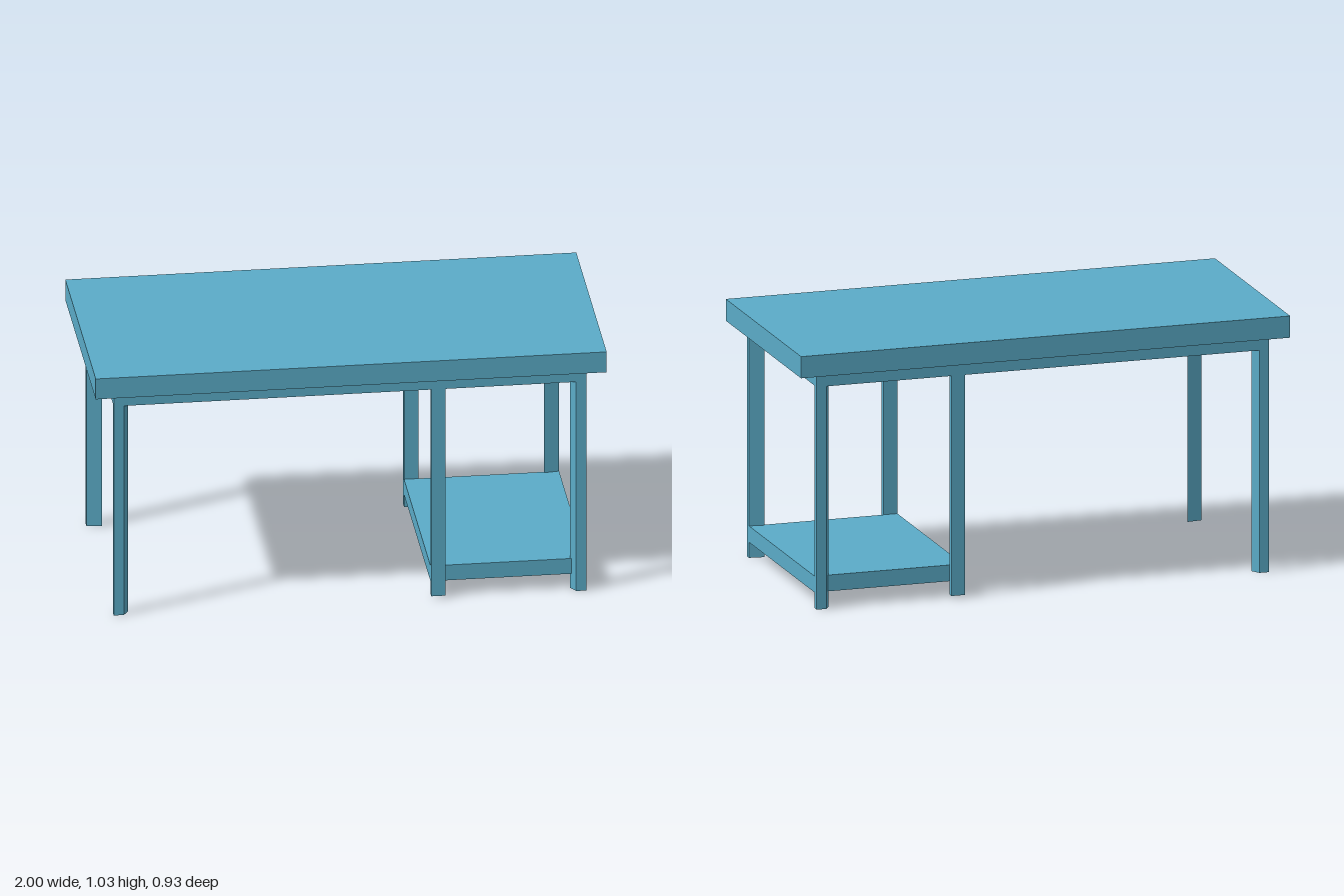
import * as THREE from 'three';

const blue = new THREE.MeshStandardMaterial({ color: 0x5bacc8 });
blue.name = 'blue';

// Outer limits of the frame under the table top
const FX = 0.925, FZ = 0.433, TX = 0.04, TZ = 0.026;
const RAIL_BOTTOM = 0.893, TOP_BOTTOM = 0.943, TOP = 1.03;

// Box given by its lower and upper corners
function block(name, [x0, y0, z0], [x1, y1, z1]) {
  const mesh = new THREE.Mesh(new THREE.BoxGeometry(x1 - x0, y1 - y0, z1 - z0), blue);
  mesh.position.set((x0 + x1) / 2, (y0 + y1) / 2, (z0 + z1) / 2);
  mesh.name = name;
  return mesh;
}

// Corner leg with a kite section whose inner corner points into the table
function cornerLeg(name, sx, sz) {
  const section = [[0, 0], [TX, 0], [0.06, 0.034], [0, TZ]];
  const shape = new THREE.Shape(section.map(([u, v]) =>
    new THREE.Vector2(sx * (FX - u), -sz * (FZ - v))));
  const geometry = new THREE.ExtrudeGeometry(shape, { depth: RAIL_BOTTOM, bevelEnabled: false });
  geometry.rotateX(-Math.PI / 2);
  const mesh = new THREE.Mesh(geometry, blue);
  mesh.name = name;
  return mesh;
}

export function createModel() {
  const desk = new THREE.Group();
  desk.name = 'desk';

  desk.add(block('tableTop', [-1, TOP_BOTTOM, -0.467], [1, TOP, 0.467]));

  // Front and back: long rail, two corner legs and a middle leg
  for (const [side, sz] of [['front', 1], ['back', -1]]) {
    const zA = Math.min(sz * FZ, sz * (FZ - TZ));
    const zB = zA + TZ;
    desk.add(block(side + 'Rail', [-FX, RAIL_BOTTOM, zA], [FX, TOP_BOTTOM, zB]));
    desk.add(block(side + 'MiddleLeg', [0.318, 0.01, zA], [0.374, RAIL_BOTTOM, zB]));
    desk.add(cornerLeg(side + 'LeftLeg', 1, sz));
    desk.add(cornerLeg(side + 'RightLeg', -1, sz));
  }

  // Short rails between the long ones
  const inner = FZ - TZ;
  desk.add(block('leftRail', [FX - TX, RAIL_BOTTOM, -inner], [FX, TOP_BOTTOM, inner]));
  desk.add(block('rightRail', [-FX, RAIL_BOTTOM, -inner], [-FX + TX, TOP_BOTTOM, inner]));

  // Low shelf between the middle and left legs
  desk.add(block('shelf', [0.318, 0.063, -inner], [FX, 0.128, inner]));

  return desk;
}
